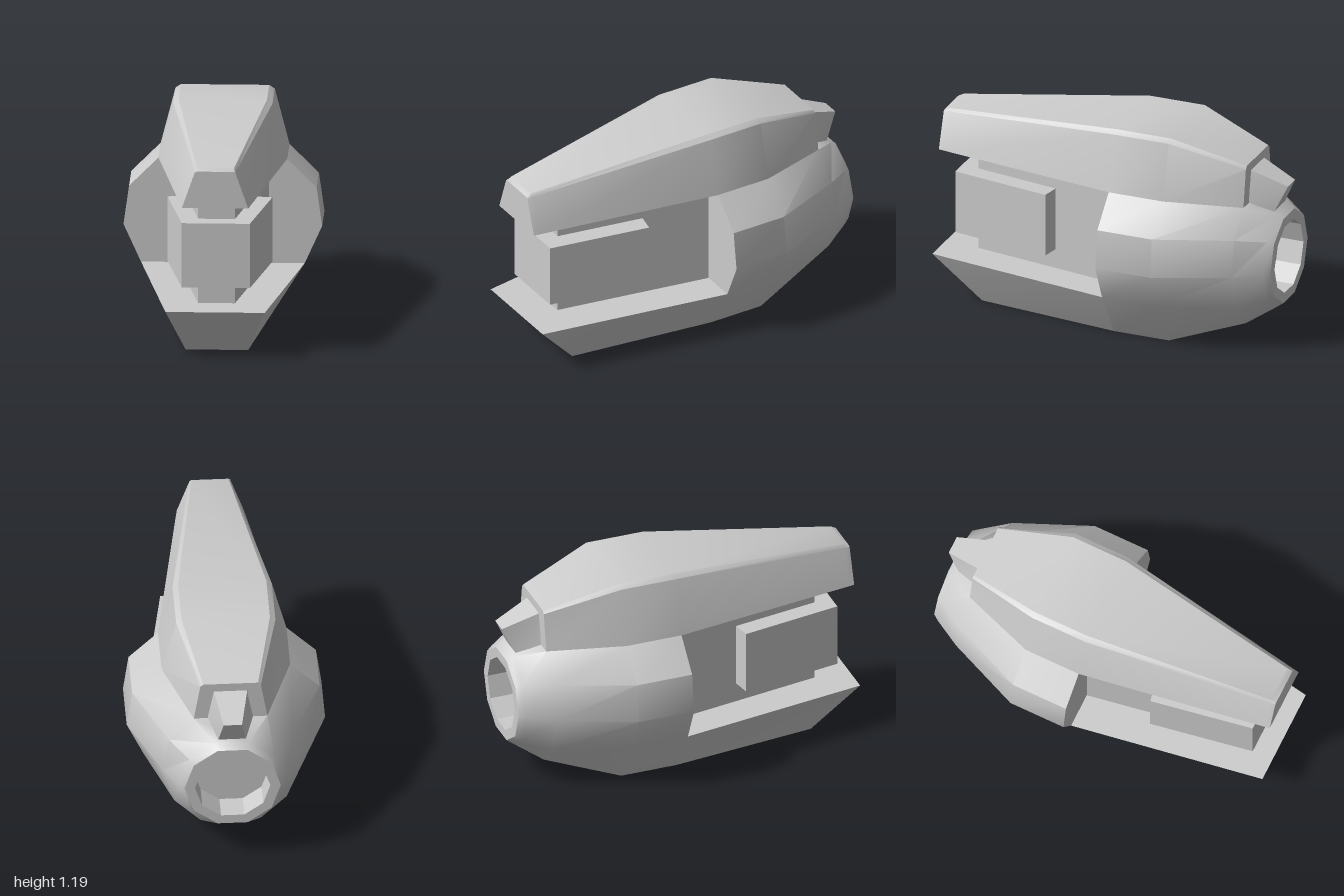
import * as THREE from 'three';
import { toCreasedNormals } from 'three/addons/utils/BufferGeometryUtils.js';

const material = new THREE.MeshStandardMaterial({ color: 0xcccccc });

// Lofts mirrored half outlines, listed front to back; points run bottom to top
// as [x, y] or [x, y, z] where a point leaves its section plane.
function loft(name, sections, creaseDegrees = 34.5) {
  const rings = sections.map(({ z, half }) => {
    const left = half.map(([x, y, pz = z]) => [x, y, pz]);
    const right = left.map(([x, y, pz]) => [-x, y, pz]).reverse();
    return [...left, ...right];
  });
  const n = rings[0].length;
  const last = (rings.length - 1) * n;
  const index = [];
  for (let s = 0; s < rings.length - 1; s++) {
    for (let i = 0; i < n; i++) {
      const j = (i + 1) % n;
      const a = s * n, b = a + n;
      index.push(a + i, b + i, b + j, a + i, b + j, a + j);
    }
  }
  // End caps
  for (let i = 1; i < n - 1; i++) {
    index.push(0, i, i + 1, last, last + i + 1, last + i);
  }
  const geometry = new THREE.BufferGeometry();
  geometry.setAttribute('position', new THREE.Float32BufferAttribute(rings.flat(2), 3));
  geometry.setIndex(index);
  const mesh = new THREE.Mesh(
    toCreasedNormals(geometry, THREE.MathUtils.degToRad(creaseDegrees)), material);
  mesh.name = name;
  return mesh;
}

// Half of a regular decagon with flat top and bottom
const decagon = (r) => [-72, -36, 0, 36, 72].map((deg) => {
  const a = THREE.MathUtils.degToRad(deg);
  return [r * Math.cos(a), 0.495 + r * Math.sin(a)];
});

// Half of a rectangle
const slab = (w, y0, y1) => [[w, y0], [w, y1]];

export function createModel() {
  const model = new THREE.Group();
  model.name = 'pod';

  // Rear hull, narrowing to a ring with a recessed socket
  const wide = [[0.27, 0], [0.445, 0.275], [0.54, 0.485], [0.51, 0.7], [0.35, 0.86]];
  model.add(loft('rearHull', [
    { z: -0.07, half: wide },
    { z: -0.39, half: wide },
    { z: -0.8, half: [[0.165, 0.13], [0.305, 0.27], [0.37, 0.485], [0.335, 0.69], [0.2, 0.83]] },
    { z: -0.95, half: decagon(0.288) },
    { z: -0.985, half: decagon(0.262) },
    { z: -0.985, half: decagon(0.205) },
    { z: -0.84, half: decagon(0.205) },
  ]));

  // Lower jaw with raked front
  model.add(loft('lowerJaw', [
    { z: 1, half: [[0.17, 0, 0.75], [0.27, 0.275]] },
    { z: -0.07, half: [[0.27, 0], [0.445, 0.275]] },
  ]));

  // Upper hood, bevelled along its crown
  const crown = [[0.35, 0.86], [0.27, 1.17], [0.24, 1.19]];
  model.add(loft('upperHood', [
    { z: 1, half: [[0.18, 0.86], [0.11, 1.06], [0.1, 1.065]] },
    { z: 0.97, half: [[0.185, 0.86], [0.115, 1.065], [0.102, 1.08]] },
    { z: -0.07, half: crown },
    { z: -0.39, half: crown },
    { z: -0.8, half: [[0.2, 0.83], [0.165, 1.045], [0.15, 1.06]] },
  ], 30));

  // Core wedge between jaw and hood
  model.add(loft('coreWedge', [
    { z: 0.8, half: slab(0.1, 0.275, 0.86) },
    { z: -0.07, half: slab(0.25, 0.275, 0.86) },
  ]));

  // Front block around the core
  model.add(loft('frontBlock', [
    { z: 0.9, half: slab(0.185, 0.387, 0.748) },
    { z: 0.33, half: slab(0.285, 0.387, 0.748) },
    { z: 0.31, half: slab(0.18, 0.387, 0.748) },
  ]));

  // Tilted nub behind the hood
  model.add(loft('rearNub', [
    { z: -0.78, half: [[0.13, 0.835], [0.095, 1.018]] },
    { z: -1, half: [[0.075, 0.78, -0.93], [0.05, 0.93]] },
  ], 20));

  return model;
}
